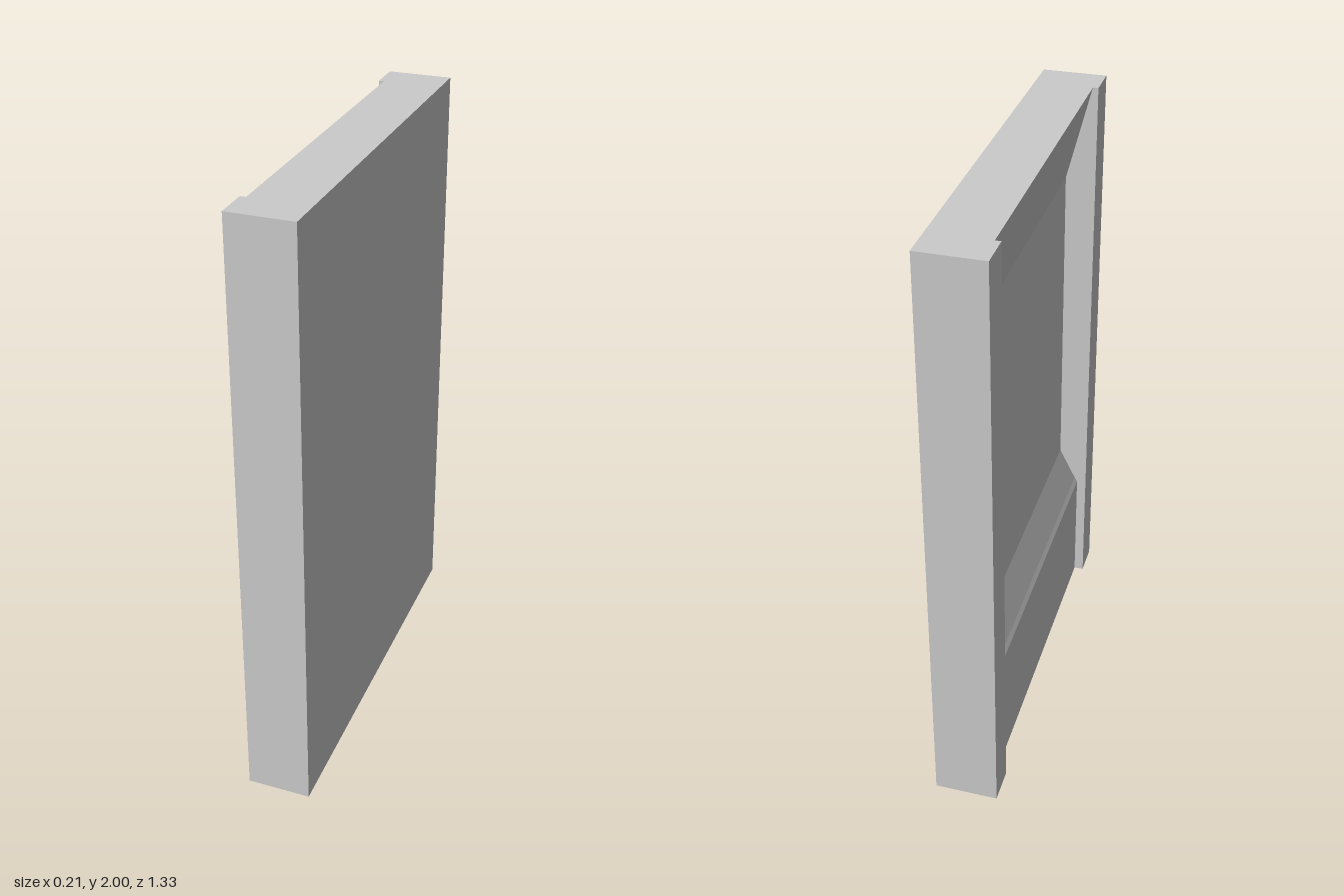
import * as THREE from 'three';

const H = 2, HALF_X = 0.105, HALF_Z = 0.666, INNER_Z = 0.552;

export function createModel() {
  const group = new THREE.Group();
  group.name = 'wallPanel';
  const material = new THREE.MeshStandardMaterial({ color: 0xcccccc, flatShading: true });

  // Recessed infill: sloped head, flat middle, sloped sill and plinth, run along z
  const profile = new THREE.Shape([
    [HALF_X, 0], [HALF_X, H],
    [-0.087, H],      // top lip
    [-0.004, 1.68],   // foot of the head slope
    [-0.004, 0.565],  // start of the sill slope
    [-0.062, 0.447],  // end of the sill slope
    [-0.072, 0.43],   // plinth edge
    [-0.072, 0],
  ].map(([x, y]) => new THREE.Vector2(x, y)));
  const infillGeometry = new THREE.ExtrudeGeometry(profile, { depth: 2 * INNER_Z, bevelEnabled: false });
  infillGeometry.translate(0, 0, -INNER_Z);
  const infill = new THREE.Mesh(infillGeometry, material);
  infill.name = 'recessedInfill';
  group.add(infill);

  // Full-height posts at both ends
  const postDepth = HALF_Z - INNER_Z;
  for (const [name, side] of [['frontPost', 1], ['backPost', -1]]) {
    const post = new THREE.Mesh(new THREE.BoxGeometry(2 * HALF_X, H, postDepth), material);
    post.position.set(0, H / 2, side * (INNER_Z + postDepth / 2));
    post.name = name;
    group.add(post);
  }
  return group;
}
